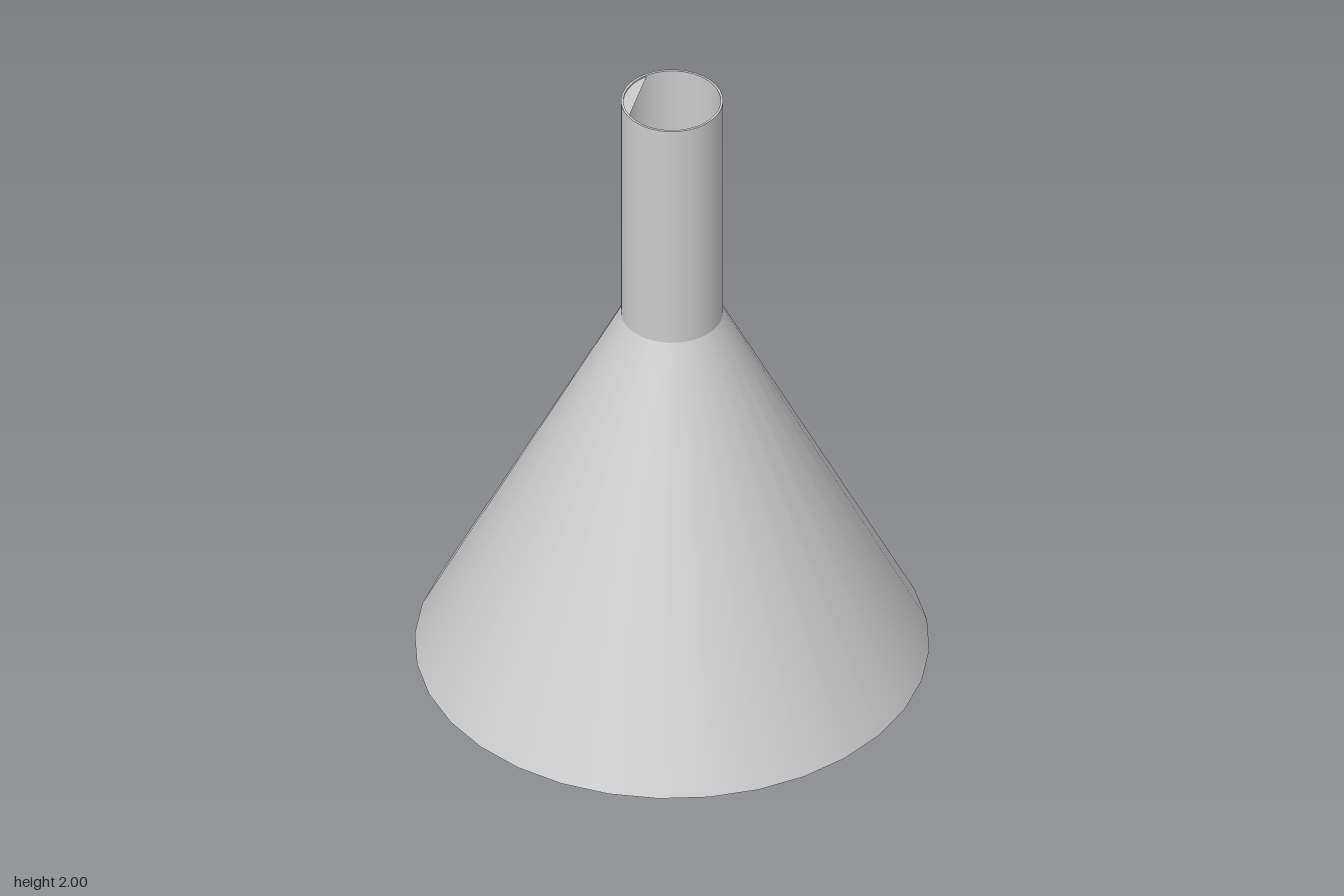
import * as THREE from 'three';

const SIDES = 32;
const BASE_R = 0.755, TUBE_R = 0.15, BORE_R = 0.143;
const NECK_Y = 1.22, TOP_Y = 2;

const grey = (side = THREE.FrontSide) => new THREE.MeshStandardMaterial({ color: 0xcccccc, side });

export function createModel() {
  const model = new THREE.Group();
  const add = (name, geometry, y, side) => {
    const mesh = new THREE.Mesh(geometry, grey(side));
    mesh.name = name;
    mesh.position.y = y;
    model.add(mesh);
    return mesh;
  };

  // Flared cone, closed underneath by a disc that faces down
  add('cone', new THREE.CylinderGeometry(TUBE_R, BASE_R, NECK_Y, SIDES, 1, true), NECK_Y / 2);
  add('baseDisc', new THREE.CircleGeometry(BASE_R, SIDES).rotateX(Math.PI / 2), 0);

  // Thin-walled spout, open at the top
  const length = TOP_Y - NECK_Y, middle = (TOP_Y + NECK_Y) / 2;
  add('spoutOuterWall', new THREE.CylinderGeometry(TUBE_R, TUBE_R, length, SIDES, 1, true), middle);
  add('spoutInnerWall', new THREE.CylinderGeometry(BORE_R, BORE_R, length, SIDES, 1, true), middle, THREE.BackSide);
  add('spoutRim', new THREE.RingGeometry(BORE_R, TUBE_R, SIDES).rotateX(-Math.PI / 2), TOP_Y);

  // Small web across the back of the spout mouth
  const web = new THREE.Shape();
  web.absarc(0, 0, BORE_R, THREE.MathUtils.degToRad(68), THREE.MathUtils.degToRad(155), false);
  add('mouthWeb', new THREE.ShapeGeometry(web, 8).rotateX(-Math.PI / 2), TOP_Y - 0.005, THREE.DoubleSide);

  return model;
}
